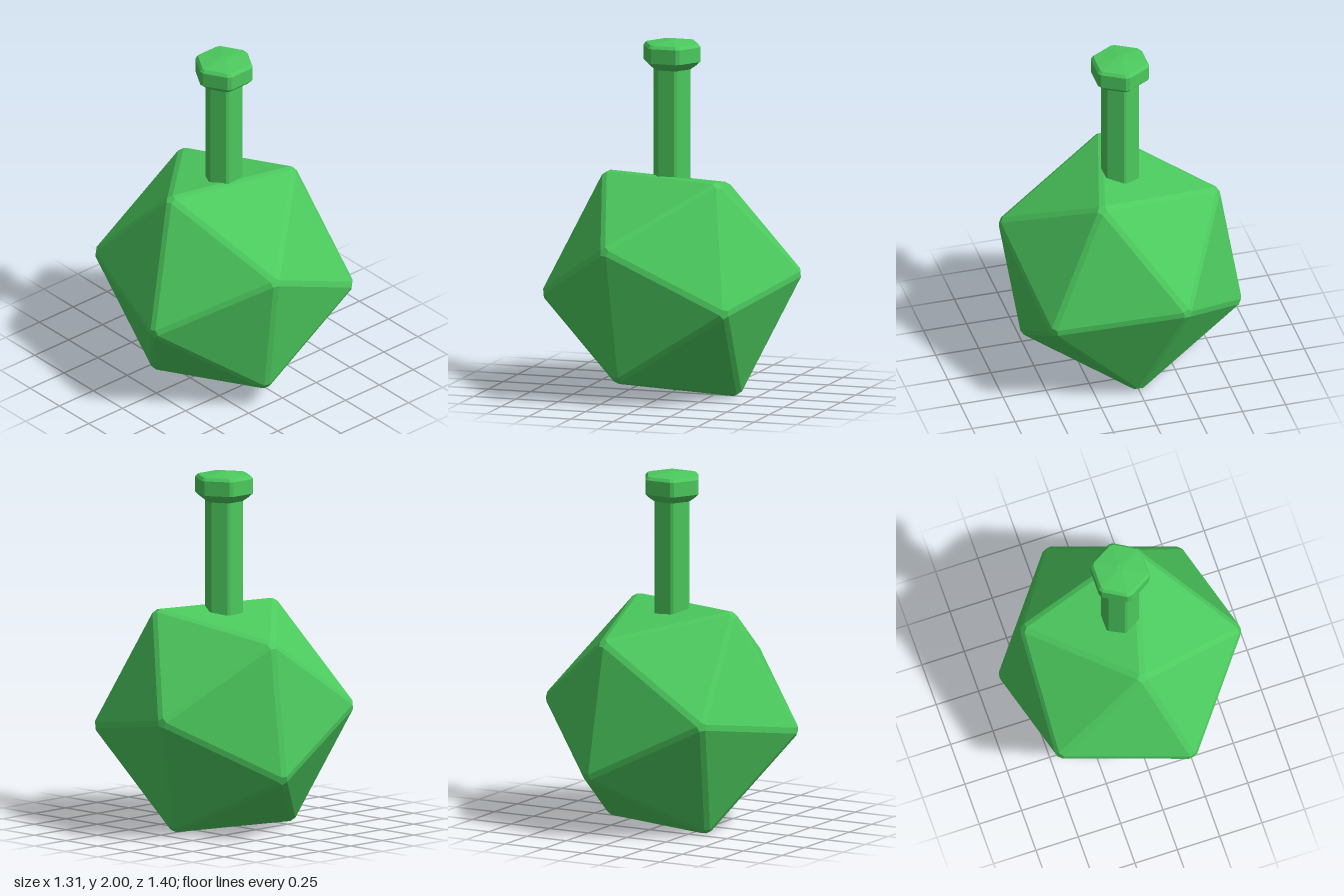
import * as THREE from 'three';
import { ConvexGeometry } from 'three/addons/geometries/ConvexGeometry.js';

const material = new THREE.MeshStandardMaterial({ color: 0x4cca5e, flatShading: true });

// Twenty-sided body with chamfered edges: the hull of its faces, each shrunk a little
function bodyGeometry(halfHeight, inset) {
  const pos = new THREE.IcosahedronGeometry(1, 0).getAttribute('position');
  const edge = new THREE.Vector3(-0.264, 0, 0.964).normalize();
  const up = new THREE.Vector3(0.16, 0.986, 0.044).normalize();
  const side = new THREE.Vector3().crossVectors(edge, up).normalize();
  up.crossVectors(side, edge);
  const tilt = new THREE.Matrix4().makeBasis(edge, up, side);
  const points = [];
  for (let f = 0; f < pos.count; f += 3) {
    const corners = [0, 1, 2].map(i => new THREE.Vector3().fromBufferAttribute(pos, f + i));
    const centre = new THREE.Vector3();
    corners.forEach(c => centre.addScaledVector(c, 1 / 3));
    corners.forEach(c => points.push(c.lerp(centre, inset).applyMatrix4(tilt)));
  }
  const scale = halfHeight / Math.max(...points.map(p => p.y));
  points.forEach(p => p.multiplyScalar(scale));
  return new ConvexGeometry(points);
}

// Hexagonal solid with cut corners, from a convex profile of [radius, y]
function hexGeometry(profile, cut = 0.08) {
  const points = [];
  const corner = (r, y, i) =>
    new THREE.Vector3(r * Math.sin(i * Math.PI / 3), y, r * Math.cos(i * Math.PI / 3));
  for (const [r, y] of profile) {
    for (let i = 0; i < 6; i++) {
      points.push(corner(r, y, i).lerp(corner(r, y, i + 1), cut));
      points.push(corner(r, y, i).lerp(corner(r, y, i - 1), cut));
    }
  }
  return new ConvexGeometry(points);
}

export function createModel() {
  const model = new THREE.Group();
  model.name = 'facetedBottle';
  const add = (name, geometry, y = 0) => {
    const mesh = new THREE.Mesh(geometry, material);
    mesh.name = name;
    mesh.position.y = y;
    model.add(mesh);
  };

  add('body', bodyGeometry(0.62, 0.08), 0.62);
  add('neck', hexGeometry([[0.112, 1.0], [0.112, 1.86]]));

  // Rim with a sloped underside and a shallow domed top
  add('rim', hexGeometry([
    [0.114, 1.84], [0.146, 1.862], [0.172, 1.885],
    [0.172, 1.968], [0.156, 1.985], [0.025, 2.0],
  ]));
  return model;
}
